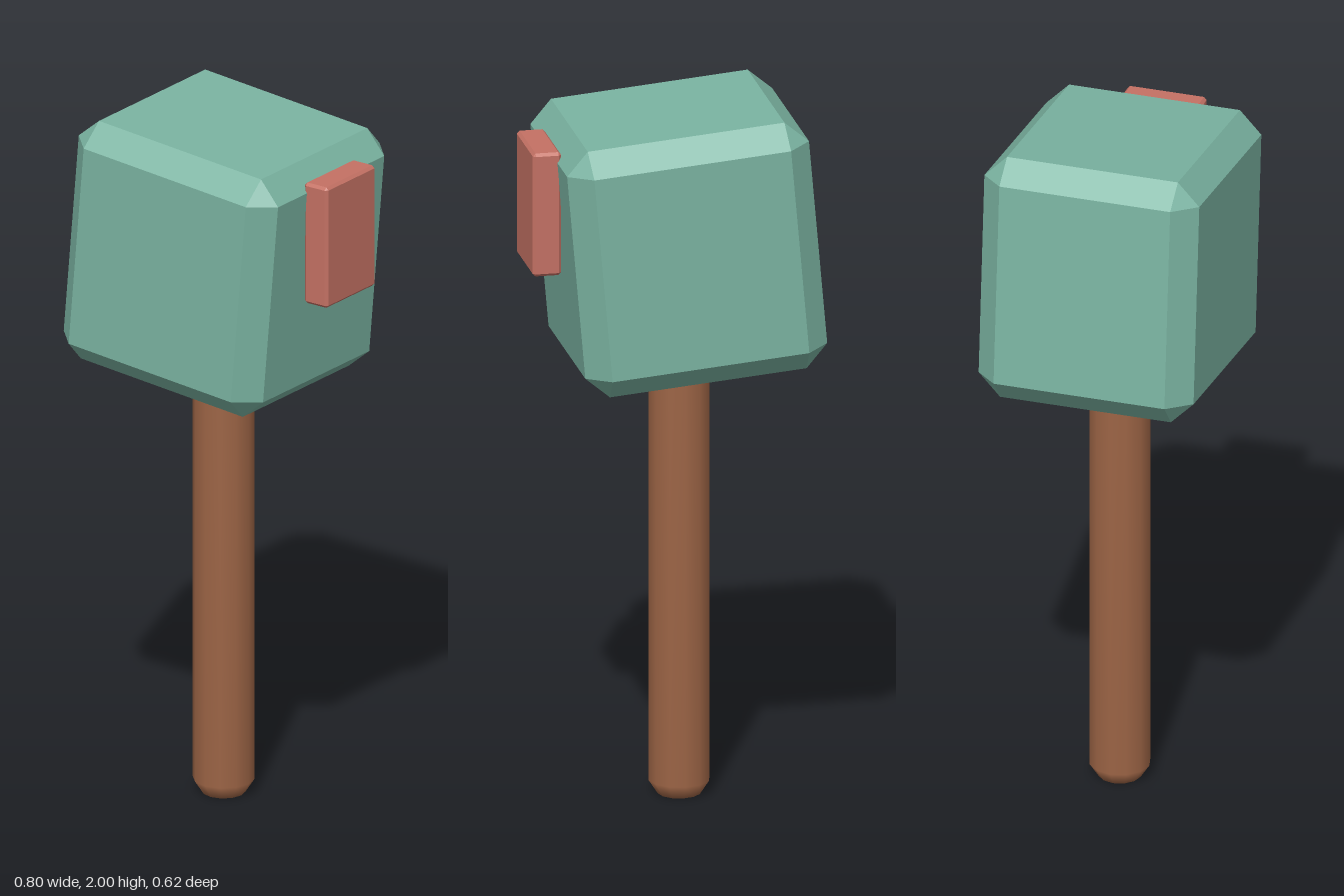
import * as THREE from 'three';
import { ConvexGeometry } from 'three/addons/geometries/ConvexGeometry.js';

const mat = (name, color) => {
  const m = new THREE.MeshStandardMaterial({ color });
  m.name = name;
  return m;
};

// Box with every edge cut flat by c and a small triangle at each corner
function chamferBox(w, h, d, c) {
  const points = [];
  for (const x of [-1, 1]) for (const y of [-1, 1]) for (const z of [-1, 1]) {
    for (let axis = 0; axis < 3; axis++) {
      const inset = [c, c, c];
      inset[axis] = 0;
      points.push(new THREE.Vector3(
        x * (w / 2 - inset[0]), y * (h / 2 - inset[1]), z * (d / 2 - inset[2])));
    }
  }
  return new ConvexGeometry(points);
}

export function createModel() {
  const group = new THREE.Group();
  const add = (name, geometry, material, x, y, z) => {
    const mesh = new THREE.Mesh(geometry, material);
    mesh.name = name;
    mesh.position.set(x, y, z);
    group.add(mesh);
    return mesh;
  };

  // Tilted mallet head
  const head = add('head', chamferBox(0.685, 0.718, 0.624, 0.064),
    mat('sea green', 0x7ab3a1), -0.034, 1.618, 0);
  head.rotation.z = -THREE.MathUtils.degToRad(5);

  // Round handle with softened ends, the upper one hidden in the head
  const profile = [[0, 0], [0.06, 0], [0.086, 0.04], [0.086, 1.3], [0.06, 1.34], [0, 1.34]]
    .map(([r, y]) => new THREE.Vector2(r, y));
  add('handle', new THREE.LatheGeometry(profile, 12), mat('wood brown', 0x9c6445), -0.035, 0, 0);

  // Upright plate on the striking face
  add('strikePlate', chamferBox(0.08, 0.356, 0.23, 0.008),
    mat('brick red', 0xc47164), 0.361, 1.733, -0.002);

  return group;
}
